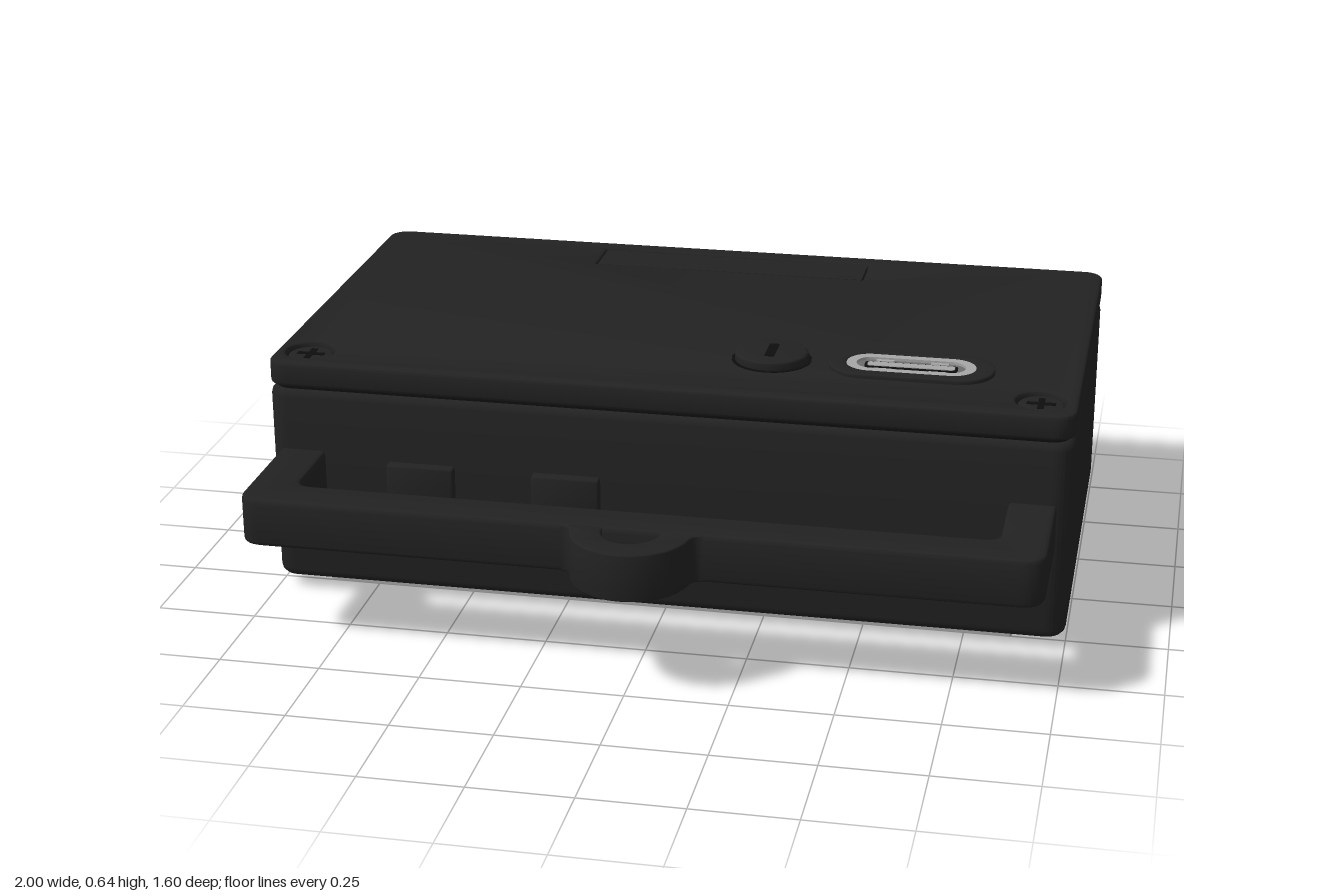
import * as THREE from 'three';
import { toCreasedNormals } from 'three/addons/utils/BufferGeometryUtils.js';

const mat = (name, color) => {
  const m = new THREE.MeshStandardMaterial({ color });
  m.name = name;
  return m;
};
const shell = mat('shell black', 0x222222);
const grille = mat('grille charcoal', 0x2c2c2c);
const black = mat('deep black', 0x0e0e0e);
const metal = mat('light metal', 0xa6a6a6);
const grey = mat('button grey', 0x6c6c6c);
const red = mat('red', 0xa8202c);

// Rounded rectangle in plan: shape x = model x, shape y = model z
function rect(x0, x1, z0, z1, r = 0.001, Type = THREE.Shape) {
  const p = new Type();
  p.absarc(x1 - r, z0 + r, r, -Math.PI / 2, 0);
  p.absarc(x1 - r, z1 - r, r, 0, Math.PI / 2);
  p.absarc(x0 + r, z1 - r, r, Math.PI / 2, Math.PI);
  p.absarc(x0 + r, z0 + r, r, Math.PI, Math.PI * 1.5);
  p.closePath();
  return p;
}
function circle(x, z, r, Type = THREE.Shape) {
  return new Type().absarc(x, z, r, 0, Math.PI * 2);
}
const withHoles = (shape, ...holes) => {
  shape.holes.push(...holes);
  return shape;
};

export function createModel() {
  const model = new THREE.Group();
  model.name = 'portableRadio';

  // Extrudes a plan shape between two heights, with optional rounded edges
  function slab(name, material, shape, y0, y1, bevel = 0, parent = model) {
    const geo = new THREE.ExtrudeGeometry(shape, {
      depth: y1 - y0 - 2 * bevel, curveSegments: 12, bevelEnabled: bevel > 0,
      bevelThickness: bevel, bevelSize: bevel, bevelOffset: -bevel, bevelSegments: 3,
    });
    geo.rotateX(Math.PI / 2).translate(0, y1 - bevel, 0);
    const mesh = new THREE.Mesh(toCreasedNormals(geo, 0.6), material);
    mesh.name = name;
    parent.add(mesh);
    return mesh;
  }

  // Case, shadow gap and lid
  slab('body', shell, rect(-1, 1, -0.8, 0.32, 0.05), 0.032, 0.543, 0.022);
  slab('lidGap', black, rect(-0.985, 0.985, -0.785, 0.305, 0.04), 0.53, 0.56);
  const screws = [[-0.915, 0.215], [0.91, 0.215]];
  const lid = withHoles(rect(-1, 1, -0.8, 0.32, 0.05),
    rect(-0.37, 0.367, -0.745, -0.61, 0.004, THREE.Path),
    ...screws.map(([x, z]) => circle(x, z, 0.062, THREE.Path)));
  slab('lid', shell, lid, 0.55, 0.612, 0.008);
  slab('lidPanel', shell, rect(-0.366, 0.363, -0.741, -0.614, 0.004), 0.55, 0.609);

  // Cross-head screws sunk into the lid
  screws.forEach(([x, z]) => {
    const screw = new THREE.Group();
    screw.name = 'screw';
    model.add(screw);
    slab('screwHead', shell, circle(x, z, 0.056), 0.55, 0.603, 0.005, screw);
    for (let i = 0; i < 2; i++) {
      const slot = new THREE.Mesh(new THREE.BoxGeometry(0.07, 0.004, 0.016), black);
      slot.name = 'screwSlot';
      slot.position.set(x, 0.6025, z);
      slot.rotation.y = i * Math.PI / 2;
      screw.add(slot);
    }
  });

  // Round button with a slot
  slab('buttonCollar', black, circle(0.23, 0.055, 0.1), 0.608, 0.614);
  slab('topButton', shell, circle(0.23, 0.055, 0.092), 0.6, 0.635, 0.006);
  slab('buttonSlot', black, rect(0.218, 0.242, 0.01, 0.1, 0.005), 0.633, 0.637);

  // Charging port
  slab('portPlate', shell, withHoles(rect(0.375, 0.785, -0.037, 0.151, 0.092),
    rect(0.418, 0.738, -0.007, 0.117, 0.06, THREE.Path)), 0.6, 0.623, 0.004);
  slab('portRing', metal, withHoles(rect(0.418, 0.738, -0.007, 0.117, 0.06),
    rect(0.443, 0.713, 0.016, 0.094, 0.038, THREE.Path)), 0.6, 0.621);
  slab('portFloor', grey, rect(0.44, 0.716, 0.013, 0.097, 0.04), 0.608, 0.614);
  slab('portTongueEdge', black, rect(0.463, 0.693, 0.036, 0.074, 0.01), 0.61, 0.617);
  slab('portTongue', metal, rect(0.47, 0.686, 0.042, 0.068, 0.008), 0.61, 0.619);
  for (const x of [0.51, 0.646]) for (const z of [0.024, 0.086]) {
    slab('portContact', metal, rect(x - 0.022, x + 0.022, z - 0.006, z + 0.006), 0.61, 0.617);
  }

  // Carrying handle with a strap loop
  const u = new THREE.Shape();
  u.moveTo(-0.97, 0.3).lineTo(-0.97, 0.595);
  u.quadraticCurveTo(-0.97, 0.655, -0.91, 0.655).lineTo(0.905, 0.655);
  u.quadraticCurveTo(0.965, 0.655, 0.965, 0.595).lineTo(0.965, 0.3);
  u.lineTo(0.85, 0.3).lineTo(0.85, 0.5).quadraticCurveTo(0.85, 0.542, 0.81, 0.542);
  u.lineTo(-0.815, 0.542).quadraticCurveTo(-0.855, 0.542, -0.855, 0.5);
  u.lineTo(-0.855, 0.3).closePath();
  slab('handle', shell, u, 0.265, 0.385, 0.01);
  const loop = new THREE.Shape();
  loop.moveTo(-0.17, 0.64).lineTo(-0.17, 0.655).quadraticCurveTo(-0.145, 0.655, -0.142, 0.685);
  loop.absarc(0, 0.655, 0.145, Math.PI - 0.21, 0.21, true);
  loop.quadraticCurveTo(0.145, 0.655, 0.17, 0.655).lineTo(0.17, 0.64).lineTo(0.07, 0.64);
  loop.lineTo(0.07, 0.66).absarc(0, 0.66, 0.07, 0, Math.PI, false);
  loop.lineTo(-0.07, 0.64).closePath();
  slab('strapLoop', shell, loop, 0.266, 0.384, 0.004);

  // Push keys on the handle side
  for (const x of [-0.605, -0.235]) {
    slab('pushKey', shell, rect(x - 0.085, x + 0.085, 0.3, 0.345, 0.006), 0.2, 0.37, 0.005);
  }

  // Speakers on the face: ring, perforated disc and dark backing
  for (const s of [-1, 1]) {
    const x = s * 0.6, z = -0.405, holes = [];
    for (let row = -4; row <= 4; row++) {
      for (let col = -4; col <= 4; col++) {
        const hx = (col + (row % 2 ? 0.5 : 0)) * 0.088, hz = row * 0.076;
        if (Math.hypot(hx, hz) < 0.27) holes.push(circle(x + hx, z + hz, 0.023, THREE.Path));
      }
    }
    const speaker = new THREE.Group();
    speaker.name = 'speaker';
    model.add(speaker);
    slab('speakerRing', metal, withHoles(circle(x, z, 0.33),
      circle(x, z, 0.305, THREE.Path)), 0.02, 0.036, 0.004, speaker);
    slab('speakerBacking', black, circle(x, z, 0.306), 0.03, 0.036, 0, speaker);
    slab('speakerGrille', grille, withHoles(circle(x, z, 0.306), ...holes), 0.026, 0.029, 0, speaker);
  }

  // Centre panel with trim, raised key, red arrow and red lamp
  slab('panelTrim', metal, withHoles(rect(-0.235, 0.235, -0.615, 0.1, 0.004),
    rect(-0.222, 0.222, -0.602, 0.088, 0.004, THREE.Path)), 0.027, 0.035);
  slab('panel', shell, rect(-0.223, 0.223, -0.603, 0.089), 0.029, 0.035);
  slab('arrowKey', black, rect(-0.1, 0.1, -0.475, -0.27, 0.01), 0.008, 0.035, 0.004);
  const arrow = new THREE.Shape();
  arrow.moveTo(0, -0.425).lineTo(0.05, -0.33).lineTo(-0.05, -0.33).closePath();
  slab('arrow', red, arrow, 0, 0.009);
  slab('lamp', red, circle(0, -0.13, 0.05), 0.022, 0.03);

  // Tuner strip with dial line, pointer and two keys
  slab('tunerFrame', metal, withHoles(rect(-0.87, 0.87, 0.11, 0.28, 0.006),
    rect(-0.85, 0.85, 0.13, 0.26, 0.004, THREE.Path)), 0.014, 0.036);
  slab('tunerDial', black, rect(-0.852, 0.852, 0.128, 0.262), 0.026, 0.034);
  slab('dialLine', red, rect(-0.34, 0.76, 0.188, 0.2), 0.022, 0.027);
  slab('dialPointer', red, rect(0, 0.28, 0.184, 0.206), 0.02, 0.027);
  for (const x of [-0.52, -0.735]) {
    slab('tunerKey', grey, rect(x - 0.1, x + 0.1, 0.143, 0.247, 0.006), 0.017, 0.03, 0.003);
  }

  return model;
}
